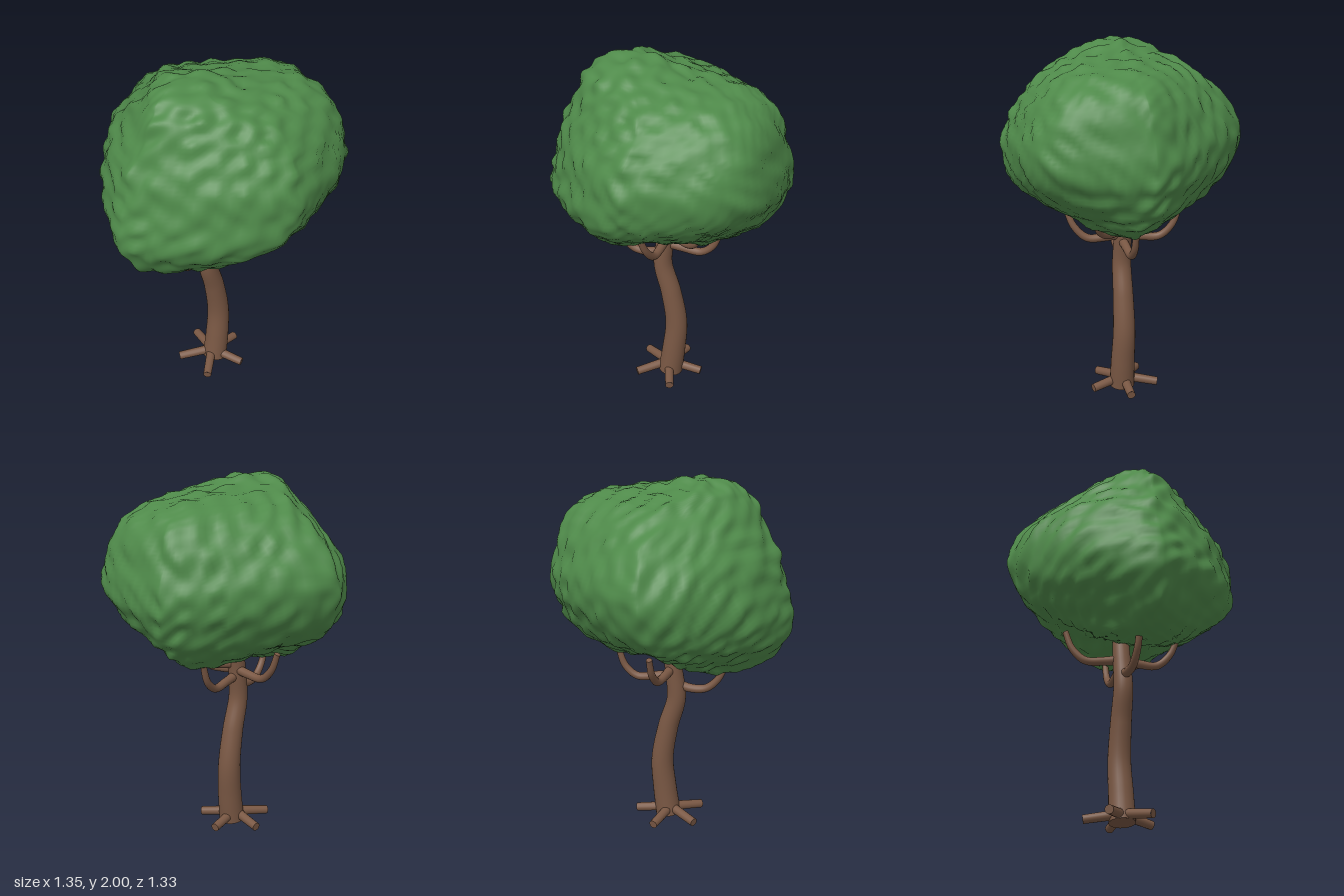
import * as THREE from 'three';
import { mergeGeometries } from 'three/addons/utils/BufferGeometryUtils.js';

const bark = new THREE.MeshStandardMaterial({ color: 0x7a5844 });
const leaves = new THREE.MeshStandardMaterial({ color: 0x4f8a4a });

// Tube along a smooth path, tapering from r0 to r1, with flat caps
function limb(name, points, r0, r1, segments = 16, sides = 14) {
  const curve = new THREE.CatmullRomCurve3(points.map(p => new THREE.Vector3(...p)));
  const tube = new THREE.TubeGeometry(curve, segments, 1, sides);
  const pos = tube.attributes.position, v = new THREE.Vector3();
  for (let i = 0; i < pos.count; i++) {
    const t = Math.floor(i / (sides + 1)) / segments;
    const centre = curve.getPointAt(t);
    v.fromBufferAttribute(pos, i).sub(centre).multiplyScalar(r0 + (r1 - r0) * t).add(centre);
    pos.setXYZ(i, v.x, v.y, v.z);
  }
  const caps = [0, 1].map(t => {
    const facing = curve.getTangentAt(t).multiplyScalar(t ? 1 : -1);
    const turn = new THREE.Quaternion().setFromUnitVectors(new THREE.Vector3(0, 0, 1), facing);
    const at = curve.getPointAt(t);
    return new THREE.CircleGeometry(t ? r1 : r0, sides).applyQuaternion(turn).translate(at.x, at.y, at.z);
  });
  const mesh = new THREE.Mesh(mergeGeometries([tube, ...caps]), bark);
  mesh.name = name;
  return mesh;
}

// Leafy lumps: layered waves bent by one another so they do not look regular
function lumps(x, y, z) {
  const a = x + 0.05 * Math.sin(7 * z + 5 * y), b = y + 0.05 * Math.sin(8 * x - 4 * z), c = z + 0.05 * Math.sin(9 * y + 3 * x);
  return 0.009 * Math.sin(36 * a + 14 * b) * Math.sin(34 * c - 16 * b)
    + 0.008 * Math.sin(38 * b + 22 * a - 18 * c) * Math.cos(24 * a + 26 * c)
    + 0.004 * Math.sin(54 * a - 20 * c) * Math.cos(48 * c + 34 * b);
}

// Crown: horizontal sections [y, xMin, xMax, zMin, zMax], bottom to top
function crown() {
  const keys = [
    [0.935, -0.33, -0.33, -0.02, -0.02],
    [0.955, -0.43, -0.2, -0.1, 0.1],
    [1.0, -0.52, 0.25, -0.23, 0.27],
    [1.05, -0.58, 0.42, -0.32, 0.37],
    [1.12, -0.63, 0.52, -0.44, 0.46],
    [1.2, -0.67, 0.6, -0.54, 0.56],
    [1.3, -0.67, 0.645, -0.61, 0.63],
    [1.4, -0.645, 0.675, -0.65, 0.65],
    [1.5, -0.615, 0.665, -0.655, 0.65],
    [1.6, -0.59, 0.635, -0.62, 0.62],
    [1.7, -0.535, 0.615, -0.55, 0.57],
    [1.8, -0.49, 0.565, -0.44, 0.49],
    [1.87, -0.46, 0.46, -0.34, 0.4],
    [1.91, -0.43, 0.3, -0.27, 0.31],
    [1.95, -0.39, 0.06, -0.19, 0.21],
    [1.985, -0.3, -0.03, -0.1, 0.1],
    [1.997, -0.17, -0.17, -0.01, -0.01],
  ];
  const path = (i, j) => new THREE.CatmullRomCurve3(
    keys.map(k => new THREE.Vector3(k[0], k[i], k[j])), false, 'catmullrom');
  const xs = path(1, 2), zs = path(3, 4), rise = THREE.MathUtils.smoothstep;
  const rows = 80, cols = 128, positions = [], index = [];
  const bend = (value, power) => Math.sign(value) * Math.abs(value) ** power;
  for (let j = 0; j <= rows; j++) {
    const { x: level, y: x0, z: x1 } = xs.getPoint(j / rows);
    const { y: z0, z: z1 } = zs.getPoint(j / rows);
    const cx = (x0 + x1) / 2, cz = (z0 + z1) / 2;
    // Fullness of the four corners: front left, front right, back right, back left
    const high = rise(level, 1.5, 1.8), low = 1 - rise(level, 1.0, 1.3);
    const fullness = [1.5 * rise(level, 1.05, 1.6), 0.06 - 0.06 * high, 0.12 - 0.2 * low, -0.12 - 0.15 * high - 0.12 * low];
    for (let i = 0; i < cols; i++) {
      const angle = i / cols * Math.PI * 2, s = Math.sin(angle);
      const p = 1.42 + Math.abs(Math.sin(2 * angle)) * fullness[Math.floor(4 * i / cols)];
      // The foremost point leans to the right
      const lean = 0.07 * Math.max(0, s) ** 4 * (z1 - z0) / 1.3;
      const x = cx + (x1 - x0) / 2 * bend(Math.cos(angle), 2 / p) - lean;
      const z = cz + (z1 - z0) / 2 * bend(s, 2 / p);
      // Hollow underneath, where the trunk enters
      const y = level + 0.065 * Math.exp(-(((x - 0.04) / 0.13) ** 2)) * (1 - rise(level, 0.97, 1.25));
      const out = new THREE.Vector3(x, y - 1.45, z).normalize().multiplyScalar(lumps(x, y, z));
      positions.push(x + out.x, y + out.y, z + out.z);
      if (j < rows) {
        const a = j * cols + i, b = j * cols + (i + 1) % cols;
        index.push(a, a + cols, b, a + cols, b + cols, b);
      }
    }
  }
  const geometry = new THREE.BufferGeometry();
  geometry.setAttribute('position', new THREE.Float32BufferAttribute(positions, 3));
  geometry.setIndex(index);
  geometry.computeVertexNormals();
  const mesh = new THREE.Mesh(geometry, leaves);
  mesh.name = 'crown';
  return mesh;
}

export function createModel() {
  const tree = new THREE.Group();
  tree.name = 'tree';

  // Swaying trunk
  tree.add(limb('trunk', [
    [0.015, 0.015, 0.01], [0.036, 0.18, 0.01], [0.048, 0.36, 0.005], [0.014, 0.57, 0.003],
    [-0.034, 0.75, 0], [-0.022, 0.9, -0.003], [0, 1.06, -0.005],
  ], 0.072, 0.046, 48, 24));

  // Five roots around the base
  const roots = new THREE.Group();
  roots.name = 'roots';
  for (let i = 0; i < 5; i++) {
    const angle = i / 5 * Math.PI * 2, c = Math.cos(angle), s = Math.sin(angle);
    roots.add(limb('root', [[0.02 * c, 0.055, 0.02 * s], [0.11 * c, 0.042, 0.11 * s], [0.2 * c, 0.029, 0.2 * s]], 0.027, 0.024, 6));
  }
  tree.add(roots);

  // Branches dip away from the trunk and curl up into the crown
  const branches = new THREE.Group();
  branches.name = 'branches';
  [
    [[-0.03, 0.84, 0], [-0.11, 0.815, 0], [-0.2, 0.82, 0], [-0.27, 0.88, 0], [-0.32, 0.99, 0]],
    [[-0.02, 0.89, 0], [0.08, 0.875, 0], [0.19, 0.865, 0], [0.26, 0.92, 0], [0.3, 1.03, 0]],
    [[-0.01, 0.93, 0], [-0.015, 0.915, 0.1], [-0.025, 0.915, 0.2], [-0.045, 0.98, 0.27], [-0.07, 1.08, 0.31]],
    [[-0.01, 0.93, 0], [0.01, 0.915, -0.1], [0.03, 0.915, -0.2], [0.045, 0.98, -0.27], [0.05, 1.08, -0.31]],
    [[-0.01, 0.96, 0], [0.07, 0.965, 0.06], [0.15, 0.98, 0.13], [0.2, 1.02, 0.18], [0.23, 1.08, 0.2]],
  ].forEach(points => branches.add(limb('branch', points, 0.027, 0.017, 24)));
  tree.add(branches);

  tree.add(crown());
  return tree;
}
